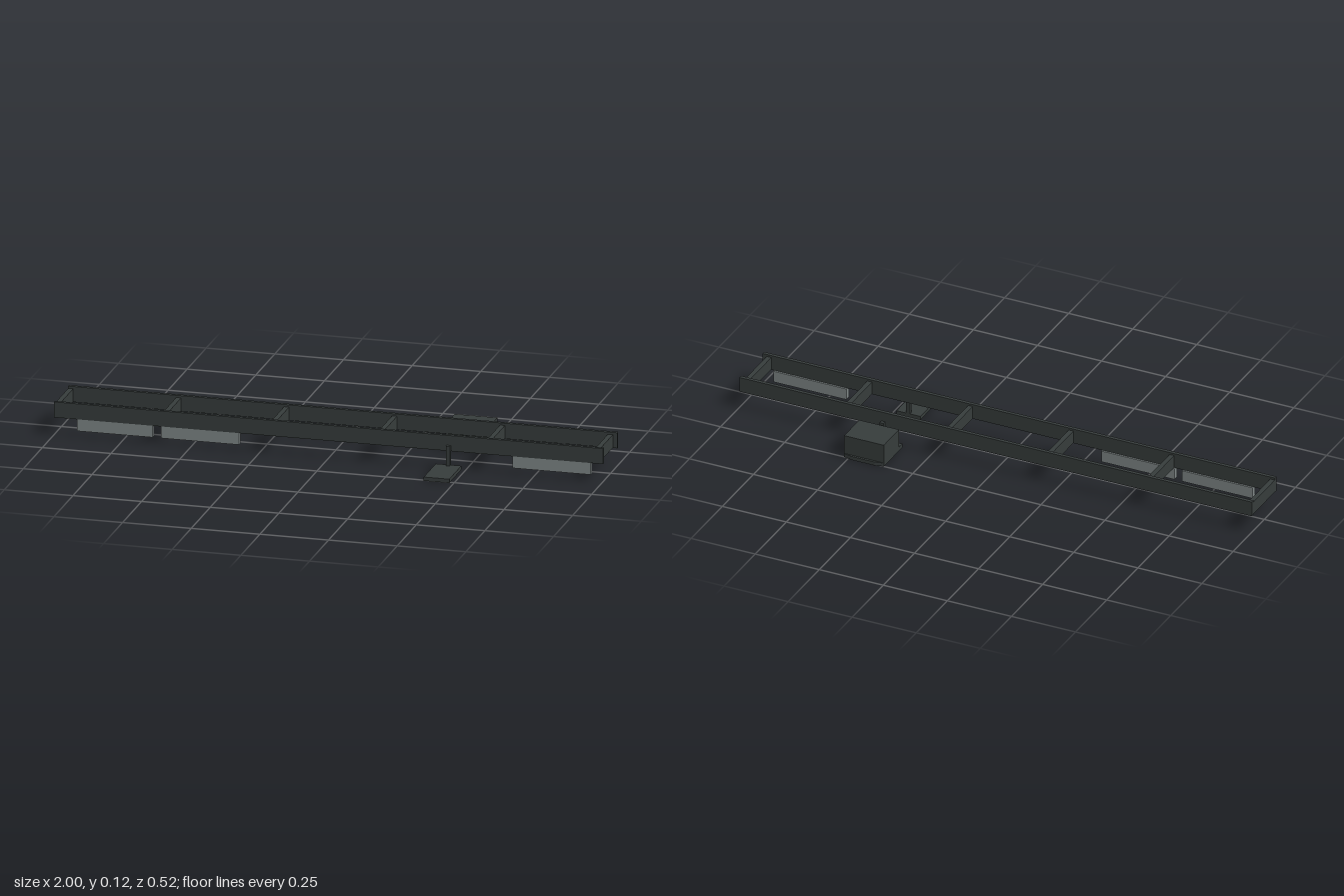
import * as THREE from 'three';

export function createModel() {
  const model = new THREE.Group();
  model.name = 'ladderFrame';

  const steel = new THREE.MeshStandardMaterial({ color: 0x363c3b });
  steel.name = 'dark steel';
  const panelGrey = new THREE.MeshStandardMaterial({ color: 0x7d8585 });
  panelGrey.name = 'panel grey';

  // Box given by its extents on each axis
  function block(name, [x0, x1], [y0, y1], [z0, z1], material = steel) {
    const mesh = new THREE.Mesh(new THREE.BoxGeometry(x1 - x0, y1 - y0, z1 - z0), material);
    mesh.position.set((x0 + x1) / 2, (y0 + y1) / 2, (z0 + z1) / 2);
    mesh.name = name;
    model.add(mesh);
    return mesh;
  }

  // Long side rails
  block('frontRail', [-1, 1], [0.065, 0.122], [0.087, 0.1]);
  block('rearRail', [-1, 1], [0.065, 0.122], [-0.1, -0.087]);

  // Evenly spaced cross members between the rails
  for (let i = 0; i < 6; i++) {
    const x = -0.99 + i * 0.393;
    block('crossMember', [x - 0.009, x + 0.009], [0.066, 0.114], [-0.087, 0.087]);
  }

  // Side panels hanging under the front rail
  for (const span of [[-0.915, -0.64], [-0.61, -0.325], [0.67, 0.955]]) {
    block('sidePanel', span, [0.022, 0.065], [0.08, 0.1], panelGrey);
  }

  // Hanger posts on the outside of both rails
  block('frontPost', [0.431, 0.446], [0, 0.086], [0.1, 0.113]);
  block('rearPost', [0.431, 0.446], [0, 0.086], [-0.113, -0.1]);

  // Front step plate
  block('stepPlate', [0.391, 0.484], [0, 0.014], [0.1, 0.258]);

  // Rear tray with clipped outer corners
  const outline = [
    [0.363, 0.1], [0.518, 0.1], [0.518, 0.25], [0.486, 0.258], [0.395, 0.258], [0.363, 0.25],
  ].map(([x, y]) => new THREE.Vector2(x, y));
  const trayGeometry = new THREE.ExtrudeGeometry(new THREE.Shape(outline), { depth: 0.014, bevelEnabled: false });
  trayGeometry.rotateX(-Math.PI / 2);
  const tray = new THREE.Mesh(trayGeometry, steel);
  tray.name = 'rearTray';
  model.add(tray);

  // Storage box standing on the tray
  block('storageBox', [0.363, 0.518], [0.014, 0.086], [-0.25, -0.128]);

  return model;
}
